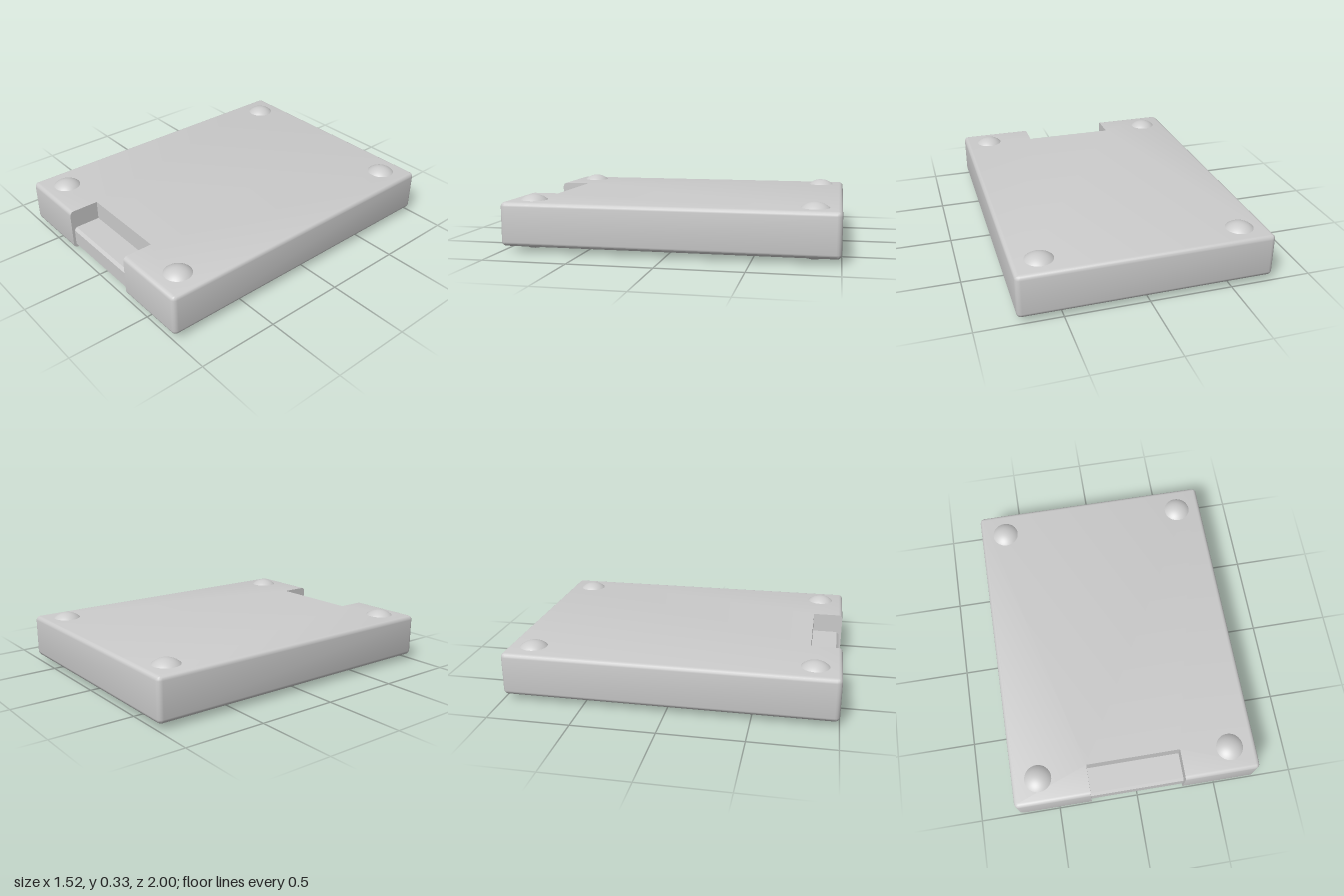
import * as THREE from 'three';
import { toCreasedNormals } from 'three/addons/utils/BufferGeometryUtils.js';

const HALF_X = 0.76, HALF_Z = 1, BOTTOM = 0.033, TOP = 0.298;
const NOTCH_X = 0.293, NOTCH_Z = 0.81;
const EDGE = 0.026, CORNER = 0.03;

// Plan outline of the case (x, -z), pulled in by d on the outer edges only
function outline(d) {
  const pts = [new THREE.Vector2(NOTCH_X, d - HALF_Z)];
  const cx = HALF_X - CORNER, cz = HALF_Z - CORNER, r = CORNER - d, steps = 4;
  [[cx, -cz], [cx, cz], [-cx, cz], [-cx, -cz]].forEach(([x, y], i) => {
    for (let s = 0; s <= steps; s++) {
      const a = (i - 1 + s / steps) * Math.PI / 2;
      pts.push(new THREE.Vector2(x + r * Math.cos(a), y + r * Math.sin(a)));
    }
  });
  pts.push(new THREE.Vector2(-NOTCH_X, d - HALF_Z),
    new THREE.Vector2(-NOTCH_X, -NOTCH_Z), new THREE.Vector2(NOTCH_X, -NOTCH_Z));
  return pts;
}

// Case: stacked outlines with rounded top and bottom edges, and flat caps
function caseGeometry() {
  const levels = [], steps = 4;
  for (let s = 0; s <= steps; s++) {
    const a = s / steps * Math.PI / 2;
    levels.push([BOTTOM + EDGE * (1 - Math.sin(a)), EDGE * (1 - Math.cos(a))]);
  }
  levels.reverse();
  const upper = levels.map(([y, d]) => [TOP + BOTTOM - y, d]).reverse();
  const rings = [...levels, ...upper].map(([y, d]) =>
    outline(d).map(p => [p.x, y, -p.y]));
  // keep the rings in rising order
  rings.sort((a, b) => a[0][1] - b[0][1]);

  const pos = [];
  const tri = (a, b, c) => pos.push(...a, ...b, ...c);
  const n = rings[0].length;
  for (let k = 0; k < rings.length - 1; k++) {
    for (let i = 0; i < n; i++) {
      const j = (i + 1) % n, lo = rings[k], hi = rings[k + 1];
      tri(lo[i], lo[j], hi[j]);
      tri(lo[i], hi[j], hi[i]);
    }
  }
  const first = rings[0], last = rings[rings.length - 1];
  for (const [a, b, c] of THREE.ShapeUtils.triangulateShape(outline(EDGE), [])) {
    tri(last[a], last[b], last[c]);
    tri(first[a], first[c], first[b]);
  }
  const geo = new THREE.BufferGeometry();
  geo.setAttribute('position', new THREE.Float32BufferAttribute(pos, 3));
  return toCreasedNormals(geo, 0.7);
}

// Connector block: side profile (z, y) swept across the notch
function connectorGeometry() {
  const profile = [[NOTCH_Z, 0.05], [0.975, 0.05], [0.983, 0.06],
    [0.983, 0.16], [0.967, 0.178], [NOTCH_Z, 0.178]];
  const shape = new THREE.Shape(profile.map(p => new THREE.Vector2(...p)));
  const geo = new THREE.ExtrudeGeometry(shape, { depth: 2 * NOTCH_X, bevelEnabled: false });
  return geo.rotateY(-Math.PI / 2).translate(NOTCH_X, 0, 0);
}

export function createModel() {
  const model = new THREE.Group();
  const material = new THREE.MeshStandardMaterial({ color: 0xcccccc });
  const add = (name, geo) => {
    const mesh = new THREE.Mesh(geo, material);
    mesh.name = name;
    model.add(mesh);
    return mesh;
  };
  add('case', caseGeometry());
  add('connectorBlock', connectorGeometry());

  // Shallow domed feet on both faces
  const r = 0.083, h = BOTTOM, R = (r * r + h * h) / (2 * h);
  const dome = new THREE.SphereGeometry(R, 32, 8, 0, Math.PI * 2, 0, Math.asin(r / R))
    .translate(0, h - R, 0);
  for (const x of [-0.597, 0.597]) {
    for (const z of [-0.845, 0.845]) {
      add('topFoot', dome).position.set(x, TOP, z);
      const under = add('bottomFoot', dome);
      under.position.set(x, BOTTOM, z);
      under.rotation.x = Math.PI;
    }
  }
  return model;
}
